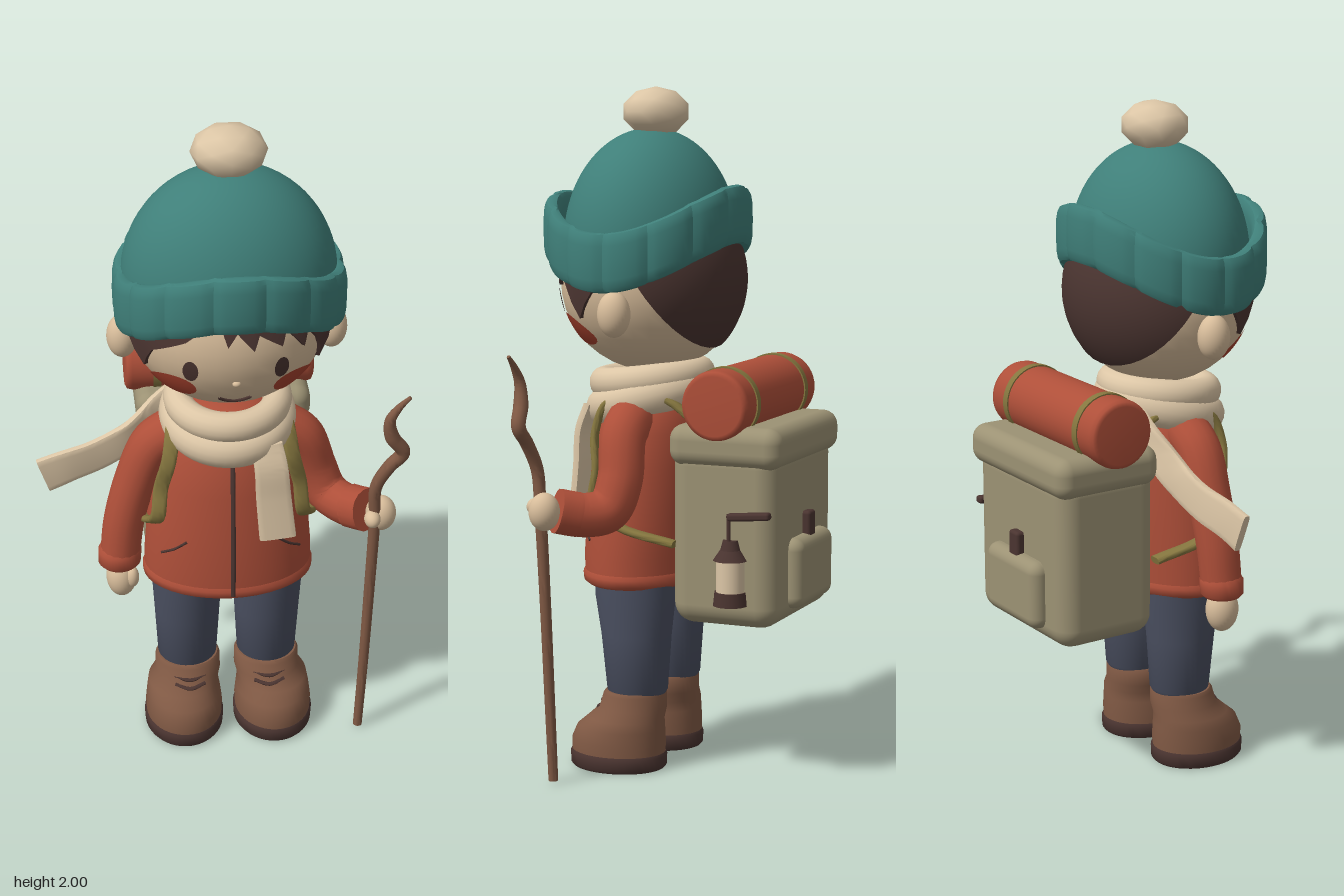
import * as THREE from 'three';
import { toCreasedNormals, mergeVertices } from 'three/addons/utils/BufferGeometryUtils.js';
import { RoundedBoxGeometry } from 'three/addons/geometries/RoundedBoxGeometry.js';

const V = (x, y, z) => new THREE.Vector3(x, y, z);
const CX = 0.017; // the body's own middle line
const TAU = Math.PI * 2;

const mat = (name, color, side = THREE.FrontSide) => {
  const m = new THREE.MeshStandardMaterial({ color, side });
  m.name = name;
  return m;
};

// Surface through rows of points; columns run counter-clockwise seen from outside
function skin(rows, closed = true, crease = 0.9) {
  const n = rows[0].length, idx = [];
  for (let i = 0; i < rows.length - 1; i++) {
    for (let j = 0; j < (closed ? n : n - 1); j++) {
      const k = (j + 1) % n, a = i * n + j, b = i * n + k;
      idx.push(a, b, a + n, b, b + n, a + n);
    }
  }
  const g = new THREE.BufferGeometry().setFromPoints(rows.flat());
  g.setIndex(idx);
  return toCreasedNormals(g, crease);
}

// Stacked ellipses [y, cx, cz, rx, rz], closed at both ends
function loft(sections, n = 40) {
  const ring = ([y, cx, cz, rx, rz]) => Array.from({ length: n }, (_, j) =>
    V(cx + rx * Math.sin(j / n * TAU), y, cz + rz * Math.cos(j / n * TAU)));
  const flat = (s) => ring([s[0], s[1], s[2], 0, 0]);
  return skin([flat(sections[0]), ...sections.map(ring), flat(sections.at(-1))]);
}

// Sweep an oval (power 1) or rounded strip (power < 1) along a curve; size(t) = half width, half thickness
function sweep(points, size, across = V(1, 0, 0), power = 1, steps = 32, n = 16) {
  const curve = new THREE.CatmullRomCurve3(points.map((p) => V(...p)));
  const bend = (v) => Math.sign(v) * Math.abs(v) ** power;
  const row = (t, k = 1) => {
    const p = curve.getPoint(t), T = curve.getTangent(t), [w, h] = size(t);
    const W = across.clone().addScaledVector(T, -across.dot(T)).normalize();
    const N = T.clone().cross(W);
    return Array.from({ length: n }, (_, j) => p.clone()
      .addScaledVector(W, k * w * bend(Math.cos(j / n * TAU)))
      .addScaledVector(N, k * h * bend(Math.sin(j / n * TAU))));
  };
  const rows = [row(0, 0)];
  for (let i = 0; i <= steps; i++) rows.push(row(i / steps));
  rows.push(row(1, 0));
  return skin(rows);
}

// Head ellipsoid, by azimuth and height, or seen from the front
const HEAD = { y: 1.44, z: 0.1, rx: 0.29, ry: 0.27, rz: 0.27 };
function headPoint(a, y, s) {
  const k = Math.sqrt(Math.max(0, 1 - ((y - HEAD.y) / (HEAD.ry * s)) ** 2));
  return V(CX + HEAD.rx * s * k * Math.sin(a), y, HEAD.z + HEAD.rz * s * k * Math.cos(a));
}
function facePoint(x, y, s = 1.012) {
  const k = 1 - (x / (HEAD.rx * s)) ** 2 - ((y - HEAD.y) / (HEAD.ry * s)) ** 2;
  return V(CX + x, y, HEAD.z + HEAD.rz * s * Math.sqrt(Math.max(0, k)));
}
const facePatch = (x, y, rx, ry, s) => skin([1, 0.75, 0.5, 0.25, 0].map((k) =>
  Array.from({ length: 24 }, (_, j) => facePoint(x + k * rx * Math.cos(j / 24 * TAU), y + k * ry * Math.sin(j / 24 * TAU), s))));

// Jacket outline: y, z centre, half width, half depth
const JACKET = [[0.57, 0.12, 0.25, 0.17], [0.64, 0.12, 0.25, 0.172], [0.76, 0.115, 0.24, 0.17], [0.9, 0.11, 0.22, 0.165],
  [1.0, 0.105, 0.2, 0.155], [1.06, 0.1, 0.178, 0.135], [1.11, 0.1, 0.135, 0.105], [1.14, 0.1, 0.08, 0.07]];
function jacketZ(x, y) {
  const i = Math.max(0, JACKET.findIndex((s) => s[0] >= y) - 1), a = JACKET[i], b = JACKET[i + 1];
  const [, cz, rx, rz] = a.map((v, k) => THREE.MathUtils.lerp(v, b[k], (y - a[0]) / (b[0] - a[0])));
  return cz + rz * Math.sqrt(Math.max(0, 1 - ((x - CX) / rx) ** 2));
}

export function createModel() {
  const root = new THREE.Group();
  root.name = 'hiker';
  const M = {
    skin: mat('skin', 0xd8bd9b), cream: mat('cream wool', 0xdcc6a6), teal: mat('teal wool', 0x3f7f79),
    red: mat('rust red cloth', 0xae4f39), navy: mat('slate trousers', 0x4a4f60), leather: mat('brown leather and wood', 0x805944),
    dark: mat('dark brown', 0x4a3430, THREE.DoubleSide), khaki: mat('khaki canvas', 0x9c9274),
    olive: mat('olive strap', 0x85763f), blush: mat('blush', 0xa8422e),
  };
  const add = (name, geo, material, x = 0, y = 0, z = 0) => {
    const m = new THREE.Mesh(geo, material);
    m.name = name;
    m.position.set(x, y, z);
    root.add(m);
    return m;
  };
  const ball = (rx, ry, rz) => new THREE.SphereGeometry(1, 32, 20).scale(rx, ry, rz);
  const box = (w, h, d, r) => new RoundedBoxGeometry(w, h, d, 4, r);

  // Head and face
  add('head', ball(HEAD.rx, HEAD.ry, HEAD.rz), M.skin, CX, HEAD.y, HEAD.z);
  add('nose', ball(0.012, 0.009, 0.01), M.skin, ...facePoint(0, 1.34, 1.0));
  const smile = [-0.045, -0.025, 0, 0.025, 0.045].map((x) => facePoint(x, 1.252 + 9 * x * x, 1.004));
  add('mouth', new THREE.TubeGeometry(new THREE.CatmullRomCurve3(smile), 20, 0.005, 6), M.dark);
  for (const s of [-1, 1]) {
    add('eye', facePatch(s * 0.127, 1.38, 0.021, 0.036, 1.016), M.dark);
    add('cheek', facePatch(s * 0.168, 1.302, 0.06, 0.045, 1.01), M.blush);
    add('ear', ball(0.045, 0.066, 0.048), M.skin, CX + s * 0.3, 1.36, 0.09);
  }

  // Hair: back cap and jagged fringe (degrees from the front, height of the lower edge)
  const cap = new THREE.SphereGeometry(1, 40, 20, 0, TAU, 0, 1.32).rotateX(-1.0).scale(0.308, 0.285, 0.272);
  add('backHair', cap, M.dark, CX, HEAD.y, HEAD.z);
  const edge = [[-95, 1.45], [-75, 1.42], [-62, 1.34], [-50, 1.42], [-38, 1.45], [-28, 1.475], [-18, 1.52], [-9, 1.53], [-5, 1.47],
    [0, 1.51], [9, 1.455], [12, 1.5], [25, 1.455], [28, 1.5], [40, 1.43], [43, 1.48], [52, 1.43], [62, 1.34], [78, 1.43], [95, 1.45]];
  const fringeCols = edge.flatMap(([d, y], i) => {
    const nx = edge[i + 1];
    return nx ? [0, 0.5].map((t) => [d + (nx[0] - d) * t, y + (nx[1] - y) * t]) : [[d, y]];
  });
  add('fringe', skin([[0, 0.98], [0, 1.035], [0.4, 1.045], [0.7, 1.05], [1, 1.05]].map(([t, s]) =>
    fringeCols.map(([d, y]) => headPoint(d * Math.PI / 180, y + (1.62 - y) * t, s))), false), M.dark);

  // Knitted hat: dome, ribbed cuff that dips over the ears, pompom
  add('hatDome', new THREE.SphereGeometry(1, 48, 20, 0, TAU, 0, Math.PI * 0.53).scale(0.305, 0.33, 0.245), M.teal, CX + 0.003, 1.552, 0.105);
  const cuffRows = [];
  for (let i = 0; i <= 16; i++) {
    const q = -i / 16 * TAU, pw = (v) => Math.sign(v) * Math.abs(v) ** 0.6;
    cuffRows.push(Array.from({ length: 112 }, (_, j) => {
      const a = j / 112 * TAU, rib = -0.011 * (1 - Math.abs(Math.cos(7 * a)) ** 0.5);
      const out = 0.026 * pw(Math.cos(q)) + (Math.cos(q) > 0 ? rib : 0);
      const y = 1.505 + 0.118 * Math.cos(a) ** 2 - 0.012 * Math.cos(a) - 0.085 * pw(Math.sin(q));
      return V(CX + 0.003 + (0.306 + out) * Math.sin(a), y, 0.115 + (0.276 + out) * Math.cos(a));
    }));
  }
  add('hatCuff', skin(cuffRows, true, 0.6), M.teal);
  const pom = new THREE.IcosahedronGeometry(1, 1);
  pom.deleteAttribute('normal');
  pom.deleteAttribute('uv');
  const pomSmooth = mergeVertices(pom, 1e-3).scale(0.108, 0.073, 0.098);
  pomSmooth.computeVertexNormals();
  add('pompom', pomSmooth, M.cream, CX + 0.003, 1.928, 0.09);

  // Jacket with hem, zip and pocket seams
  add('jacket', loft(JACKET.map(([y, cz, rx, rz]) => [y, CX, cz, rx, rz])), M.red);
  add('jacketHem', loft([[0.55, CX, 0.12, 0.24, 0.162], [0.56, CX, 0.12, 0.254, 0.174], [0.58, CX, 0.12, 0.256, 0.176], [0.592, CX, 0.12, 0.25, 0.17]]), M.red);
  const onJacket = (x, y, lift = 0.002) => [x, y, jacketZ(x, y) + lift];
  add('zip', sweep([0.565, 0.66, 0.76, 0.86, 0.95, 1.02].map((y) => onJacket(CX, y, 0.003)), () => [0.007, 0.004], V(1, 0, 0), 0.5), M.dark);
  for (const s of [-1, 1]) {
    const seam = [[0.205, 0.685], [0.17, 0.712], [0.135, 0.745]].map(([x, y]) => onJacket(CX + s * x, y));
    add('pocketSeam', sweep(seam, () => [0.004, 0.004], V(0, 1, 0), 1, 8, 8), M.dark);
  }

  // Arms, cuffs and hands
  const limb = (t) => [0.066 - 0.006 * t, 0.07 - 0.008 * t];
  add('rightSleeve', sweep([[-0.13, 1.05, 0.1], [-0.2, 1.0, 0.1], [-0.255, 0.87, 0.1], [-0.29, 0.74, 0.105], [-0.305, 0.62, 0.11]], limb), M.red);
  add('rightCuff', loft([[0.582, -0.308, 0.11, 0.055, 0.055], [0.592, -0.308, 0.11, 0.064, 0.064], [0.632, -0.306, 0.11, 0.065, 0.065], [0.645, -0.304, 0.11, 0.057, 0.057]]), M.red);
  add('rightHand', ball(0.046, 0.068, 0.05), M.skin, -0.303, 0.537, 0.115);
  add('rightThumb', ball(0.02, 0.035, 0.022), M.skin, -0.272, 0.55, 0.145);
  add('leftSleeve', sweep([[0.165, 1.05, 0.1], [0.235, 1.0, 0.1], [0.28, 0.88, 0.09], [0.315, 0.8, 0.11], [0.36, 0.786, 0.16], [0.41, 0.8, 0.215]], limb, V(0.8, 0.2, -0.6), 1, 40), M.red);
  add('leftCuff', sweep([[0.378, 0.789, 0.178], [0.396, 0.795, 0.199], [0.418, 0.803, 0.224]], () => [0.062, 0.065], V(0.8, 0, -0.6), 0.9, 6), M.red);
  add('leftHand', ball(0.045, 0.055, 0.045), M.skin, 0.456, 0.805, 0.245);
  add('leftThumb', ball(0.024, 0.026, 0.03), M.skin, 0.425, 0.812, 0.285);

  // Walking stick
  const stick = [[0.413, 0.008, 0.245], [0.422, 0.25, 0.25], [0.43, 0.55, 0.258], [0.435, 0.8, 0.268], [0.433, 0.92, 0.278],
    [0.468, 1.0, 0.292], [0.503, 1.05, 0.3], [0.468, 1.11, 0.31], [0.458, 1.17, 0.318], [0.48, 1.215, 0.323], [0.512, 1.25, 0.325]];
  add('walkingStick', sweep(stick, (t) => { const r = t < 0.7 ? 0.014 + 0.011 * t : 0.0217 - 0.055 * (t - 0.7); return [r, r]; }, V(0, 0, 1), 1, 80, 12), M.leather);

  // Legs and boots
  for (const s of [-1, 1]) {
    const lx = CX + s * 0.122, fx = CX + s * 0.138;
    add('trouserLeg', loft([[0.22, lx, 0.1, 0.08, 0.082], [0.235, lx, 0.1, 0.09, 0.09], [0.4, lx, 0.103, 0.099, 0.105], [0.52, lx, 0.106, 0.106, 0.122], [0.62, lx, 0.106, 0.106, 0.124]]), M.navy);
    add('boot', loft([[0.04, fx, 0.155, 0.116, 0.143], [0.08, fx, 0.155, 0.118, 0.144], [0.12, fx, 0.147, 0.113, 0.134], [0.15, fx, 0.13, 0.107, 0.115],
      [0.18, lx, 0.114, 0.1, 0.1], [0.222, lx, 0.108, 0.099, 0.093], [0.232, lx, 0.106, 0.093, 0.087]]), M.leather);
    add('sole', loft([[0, fx, 0.155, 0.114, 0.14], [0.008, fx, 0.155, 0.12, 0.147], [0.04, fx, 0.155, 0.122, 0.148], [0.048, fx, 0.155, 0.117, 0.144]]), M.dark);
    for (const [y, z] of [[0.193, 0.208], [0.17, 0.222]]) {
      add('lace', sweep([[-0.045, 0.004, -0.018], [0, -0.002, 0.001], [0.045, 0.004, -0.018]].map(([x, dy, dz]) => [lx + x, y + dy, z + dz]), () => [0.006, 0.008], V(0, 1, 0), 1, 10, 8), M.dark);
    }
  }

  // Scarf: two wraps, a tail down the chest and one blown out behind
  for (const [y, R, r, tilt] of [[1.15, 0.145, 0.042, 0.12], [1.095, 0.15, 0.05, 0.26]]) {
    add('scarfWrap', new THREE.TorusGeometry(R, r, 16, 48).rotateX(Math.PI / 2).scale(1, 1.1, 1).rotateX(tilt), M.cream, CX, y, 0.105);
  }
  add('scarfChestTail', sweep([[0.115, 1.07, 0.255], [0.127, 1.0, 0.275], [0.135, 0.9, 0.277], [0.148, 0.765, 0.283]], (t) => [0.046 + 0.008 * t, 0.013], V(1, 0.06, 0), 0.4), M.cream);
  add('scarfLooseTail', sweep([[-0.07, 1.11, -0.045], [-0.17, 1.03, -0.04], [-0.27, 0.945, -0.015], [-0.36, 0.9, 0.0], [-0.45, 0.875, 0.015], [-0.525, 0.85, 0.022]], (t) => [0.045 + 0.014 * t, 0.012], V(0.4, 1, 0), 0.4), M.cream);

  // Backpack with lid, pocket and buckle
  add('packBody', box(0.49, 0.52, 0.325, 0.06), M.khaki, 0.025, 0.73, -0.22);
  add('packLid', box(0.525, 0.12, 0.345, 0.045), M.khaki, 0.025, 0.99, -0.227);
  add('packPocket', box(0.28, 0.205, 0.08, 0.035), M.khaki, 0.02, 0.617, -0.383);
  add('packBuckle', box(0.05, 0.085, 0.03, 0.01), M.dark, 0.02, 0.742, -0.391);

  // Shoulder straps
  for (const s of [-1, 1]) {
    const path = [[0.13, 1.03, -0.1], [0.14, 1.1, -0.01], [0.15, 1.125, 0.08], [0.165, 1.09, 0.175], [0.18, 1.0, 0.208], [0.203, 0.9, 0.195], [0.215, 0.8, 0.2], [0.25, 0.74, 0.1], [0.24, 0.7, -0.07]];
    add('shoulderStrap', sweep(path.map(([x, y, z]) => [CX + s * x, y, z]), () => [0.022, 0.011], V(1, 0, 0.25 * -s), 0.6, 48), M.olive);
  }

  // Bedroll
  const roll = [[0, -0.283], [0.085, -0.283], [0.097, -0.277], [0.101, -0.262], [0.101, 0.262], [0.097, 0.277], [0.085, 0.283], [0, 0.283]];
  add('bedroll', new THREE.LatheGeometry(roll.map((p) => new THREE.Vector2(...p)), 40).rotateZ(Math.PI / 2), M.red, 0.018, 1.11, -0.208);
  for (const x of [-0.17, 0.21]) add('bedrollStrap', new THREE.CylinderGeometry(0.105, 0.105, 0.024, 40).rotateZ(Math.PI / 2), M.olive, x, 1.11, -0.208);

  // Lantern hung on the pack's left side
  const cyl = (name, r1, r2, h, y, m) => add(name, new THREE.CylinderGeometry(r1, r2, h, 24), m, 0.27, y, -0.25);
  cyl('lanternBase', 0.046, 0.05, 0.04, 0.56, M.dark);
  cyl('lanternGlass', 0.042, 0.042, 0.1, 0.625, M.cream);
  cyl('lanternTop', 0.03, 0.05, 0.03, 0.685, M.dark);
  cyl('lanternCap', 0.022, 0.03, 0.03, 0.713, M.dark);
  add('lanternWire', new THREE.CylinderGeometry(0.006, 0.006, 0.09, 8), M.dark, 0.285, 0.76, -0.25);
  add('lanternBracket', box(0.03, 0.022, 0.13, 0.008), M.dark, 0.278, 0.8, -0.308).rotation.x = 0.08;

  return root;
}
